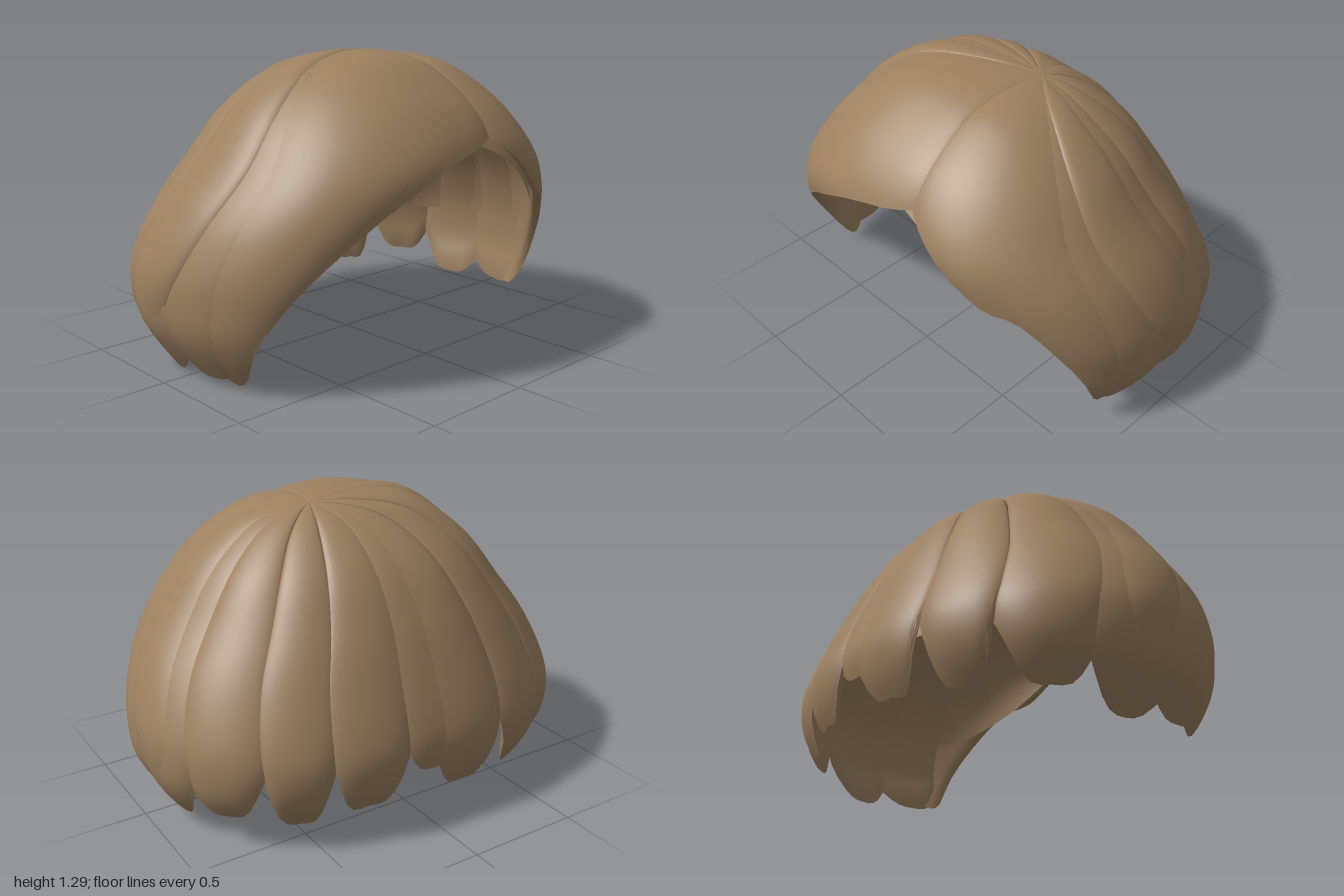
import * as THREE from 'three';
import { toCreasedNormals } from 'three/addons/utils/BufferGeometryUtils.js';

// Head profile from crown to tips: half width, height, front z, back z
const PROFILE = [
  [0, 1.292, 0.08, 0.08], [0.22, 1.272, 0.27, -0.09], [0.41, 1.21, 0.43, -0.24],
  [0.6, 1.06, 0.63, -0.42], [0.755, 0.86, 0.77, -0.55], [0.885, 0.68, 0.78, -0.635],
  [0.965, 0.5, 0.76, -0.71], [0.99, 0.36, 0.74, -0.745], [0.975, 0.2, 0.72, -0.72],
  [0.87, 0.0, 0.68, -0.62],
];
const smooth = (points) => new THREE.CatmullRomCurve3(points, false, 'catmullrom', 0.5);
const main = smooth(PROFILE.map(([w, y, f]) => new THREE.Vector3(w, y, f)));
const back = smooth(PROFILE.map((p) => new THREE.Vector3(p[3], 0, 0)));
const CENTRE = new THREE.Vector3(0, 0.4, 0.03);
const SQUARE = 0.85;
const power = (v) => Math.sign(v) * Math.abs(v) ** SQUARE;

// Horizontal section of the head at profile position q
function section(q) {
  const m = main.getPoint(q);
  const b = back.getPoint(q).x;
  return { y: m.y, rx: Math.max(m.x, 1e-5), rz: Math.max((m.z - b) / 2, 1e-5), mid: (m.z + b) / 2 };
}

// Last profile position in 0..1 for which the test holds
function bisect(test) {
  let lo = 0, hi = 1;
  for (let i = 0; i < 20; i++) {
    const q = (lo + hi) / 2;
    if (test(q)) lo = q; else hi = q;
  }
  return lo;
}
const levelOf = (y) => bisect((q) => main.getPoint(q).y > y);

// Height of the dome above x, z
function domeHeight(x, z) {
  const q = bisect((k) => {
    const s = section(k);
    return Math.abs(x / s.rx) ** (2 / SQUARE) + Math.abs((z - s.mid) / s.rz) ** (2 / SQUARE) > 1;
  });
  return section(q).y;
}

// Point on the head: degrees from the front (+x positive), q down the profile, outward offset.
// Near the crown, points slide over the dome so that the locks meet at the off-centre parting.
function onHead(degrees, q, offset) {
  const a = THREE.MathUtils.degToRad(degrees);
  const s = section(q);
  const p = new THREE.Vector3(s.rx * power(Math.sin(a)), s.y, s.mid + s.rz * power(Math.cos(a)));
  if (q < 0.5) {
    const slide = (1 - 2 * q) ** 2;
    p.x += 0.19 * slide;
    p.z -= 0.12 * slide;
    p.y = domeHeight(p.x, p.z);
  }
  return p.addScaledVector(p.clone().sub(CENTRE).normalize(), offset);
}

// Mesh from rows of points; wrap closes each row into a ring
function loft(rows, wrap) {
  const n = rows[0].length;
  const index = [];
  for (let i = 0; i < rows.length - 1; i++) {
    for (let j = 0; j < (wrap ? n : n - 1); j++) {
      const k = (j + 1) % n;
      const a = i * n + j, b = i * n + k, c = a + n, d = b + n;
      index.push(a, c, b, b, c, d);
    }
  }
  const g = new THREE.BufferGeometry().setFromPoints(rows.flat());
  g.setIndex(index);
  return toCreasedNormals(g, 0.9);
}

const edgeCurve = (heights) => smooth(heights.map((y) => new THREE.Vector3(0, y, 0)));

// Closed, softly bulged lock running from the crown to a shaped lower edge
function lockGeometry({ from, to, edge, lift = 0, thick = 0.08, twist = 0 }) {
  const cols = Math.max(16, Math.round((to - from) / 2.5));
  const rowCount = 30;
  const curve = edgeCurve(edge);
  const ends = [];
  for (let j = 0; j <= cols; j++) {
    const s = (1 - Math.cos((Math.PI * j) / cols)) / 2;
    ends.push({ s, q: levelOf(curve.getPoint(s).y), round: Math.sqrt(Math.sin(Math.PI * s) + 1e-9) });
  }
  const rows = [];
  for (let i = 0; i <= rowCount; i++) {
    const t = i / rowCount;
    const ramp = Math.min(1, t * 2.5);
    const taper = Math.sqrt(Math.max(0, 1 - t ** 10));
    const place = ({ s, q, round }, inside) => {
      const bulge = -0.016 + (0.026 + lift) * round;
      const offset = ramp * (bulge - 0.02 * t ** 10) - inside * thick * round * taper * ramp;
      return onHead(THREE.MathUtils.lerp(from, to, s) + twist * (1 - t), t * q, offset);
    };
    const outer = ends.map((e) => place(e, 0));
    const inner = ends.slice(1, -1).reverse().map((e) => place(e, 1));
    rows.push([...outer, ...inner]);
  }
  return loft(rows, true);
}

// Open inner cap that follows the hairline
function capGeometry() {
  const hairline = edgeCurve([0.98, 0.88, 0.64, 0.47, 0.43, 0.4, 0.38, 0.36, 0.35, 0.34]);
  const rows = [];
  for (let i = 0; i <= 24; i++) {
    const row = [];
    for (let j = 0; j <= 72; j++) {
      const a = -180 + j * 5;
      const q = levelOf(hairline.getPoint(Math.abs(a) / 180).y);
      row.push(onHead(a, (q * i) / 24, -0.06));
    }
    rows.push(row);
  }
  return loft(rows, false);
}

export function createModel() {
  const hair = new THREE.MeshStandardMaterial({ color: 0x9c805f, side: THREE.DoubleSide });
  hair.name = 'brown hair';
  const model = new THREE.Group();
  model.name = 'hair';
  const add = (name, geometry) => {
    const mesh = new THREE.Mesh(geometry, hair);
    mesh.name = name;
    model.add(mesh);
  };

  add('innerCap', capGeometry());

  // Swept fringe, split at the parting
  add('fringeRight', lockGeometry({
    from: -84, to: 13, edge: [0.12, 0.02, 0.26, 0.52, 0.72, 0.84, 0.91, 0.97],
  }));
  add('fringeLeft', lockGeometry({
    from: 11, to: 80, thick: 0.07, edge: [0.97, 0.84, 0.67, 0.61, 0.36, 0.1, 0.12],
  }));

  // Side and back locks: name, start, end, edge heights, lift, root twist
  const locks = [
    ['sideLockRight', -96, -66, [0.2, 0.05, 0.03, 0.06, 0.2], -0.004, 0],
    ['sideLockRight', -115, -84, [0.24, 0.04, 0.0, 0.04, 0.2], 0, 6],
    ['upperLockRight', -108, -84, [0.5, 0.33, 0.26, 0.3, 0.48], 0.016, 14],
    ['rearSideLockRight', -140, -108, [0.32, 0.11, 0.08, 0.1, 0.26], 0.004, 8],
    ['backLockRight', -162, -138, [0.42, 0.14, 0.1, 0.11, 0.38], 0, 4],
    ['backLockRight', -183, -160, [0.46, 0.17, 0.14, 0.15, 0.46], 0, 0],
    ['backLockCentre', 172, 187, [0.5, 0.31, 0.27, 0.31, 0.5], -0.006, 0],
    ['backLockInner', 160, 176, [0.5, 0.32, 0.27, 0.31, 0.48], -0.01, 0],
    ['backLockLeft', 154, 176, [0.44, 0.17, 0.16, 0.18, 0.46], 0, 0],
    ['backLockLeft', 135, 157, [0.4, 0.13, 0.11, 0.14, 0.44], 0, -4],
    ['rearSideLockLeft', 110, 138, [0.3, 0.16, 0.15, 0.18, 0.4], 0.004, -8],
    ['sideLockLeft', 86, 114, [0.22, 0.08, 0.06, 0.09, 0.28], 0, -6],
    ['upperLockLeft', 84, 108, [0.48, 0.3, 0.25, 0.31, 0.48], 0.016, -14],
    ['sideLockLeft', 66, 94, [0.18, 0.09, 0.08, 0.1, 0.22], -0.004, 0],
  ];
  for (const [name, from, to, edge, lift, twist] of locks) {
    add(name, lockGeometry({ from, to, edge, lift, twist }));
  }
  return model;
}
